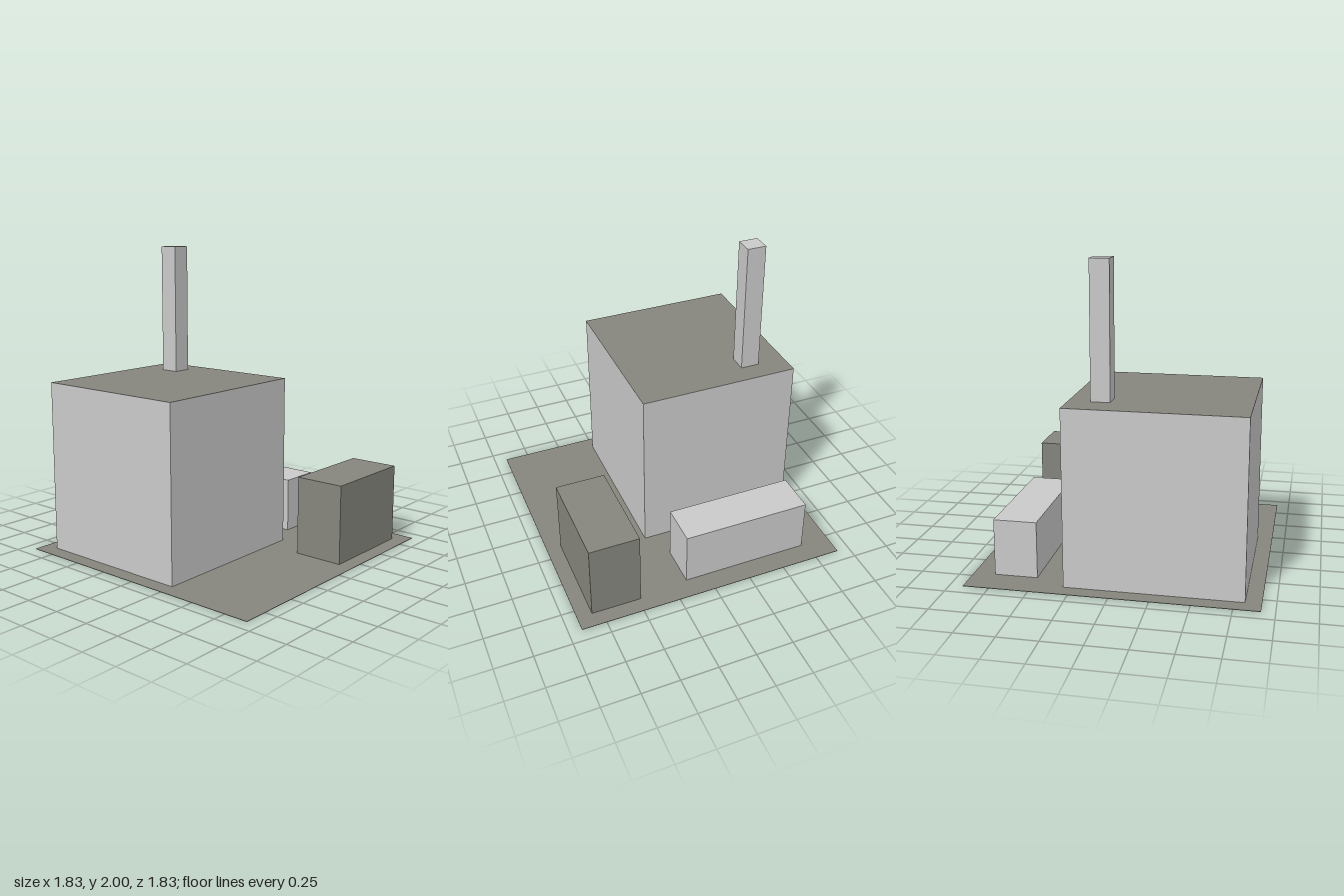
import * as THREE from 'three';

export function createModel() {
  const model = new THREE.Group();
  const wall = new THREE.MeshStandardMaterial({ color: 0xc9c9c9 });
  wall.name = 'light grey wall';
  const dark = new THREE.MeshStandardMaterial({ color: 0x85857d });
  dark.name = 'dark olive grey';

  // Axis-aligned block given by its extents
  function block(name, [x0, x1], [y0, y1], [z0, z1], material) {
    const mesh = new THREE.Mesh(new THREE.BoxGeometry(x1 - x0, y1 - y0, z1 - z0), material);
    mesh.position.set((x0 + x1) / 2, (y0 + y1) / 2, (z0 + z1) / 2);
    mesh.name = name;
    model.add(mesh);
  }

  // Thin plot of ground
  block('ground', [-0.915, 0.915], [0, 0.003], [-0.915, 0.915], dark);

  // Main building: light walls, dark flat roof (third face group is the top)
  block('mainBuilding', [-0.815, 0.302], [0.003, 1.138], [-0.815, 0.252],
    [wall, wall, dark, wall, wall, wall]);

  // Chimney standing on the roof
  block('chimney', [0.04, 0.163], [1.138, 2], [-0.625, -0.5], wall);

  // Low light side building
  block('sideBuilding', [0.497, 0.775], [0.003, 0.37], [-0.712, 0.147], wall);

  // Dark front building
  block('frontBuilding', [0.152, 0.813], [0.003, 0.525], [0.482, 0.815], dark);

  return model;
}
